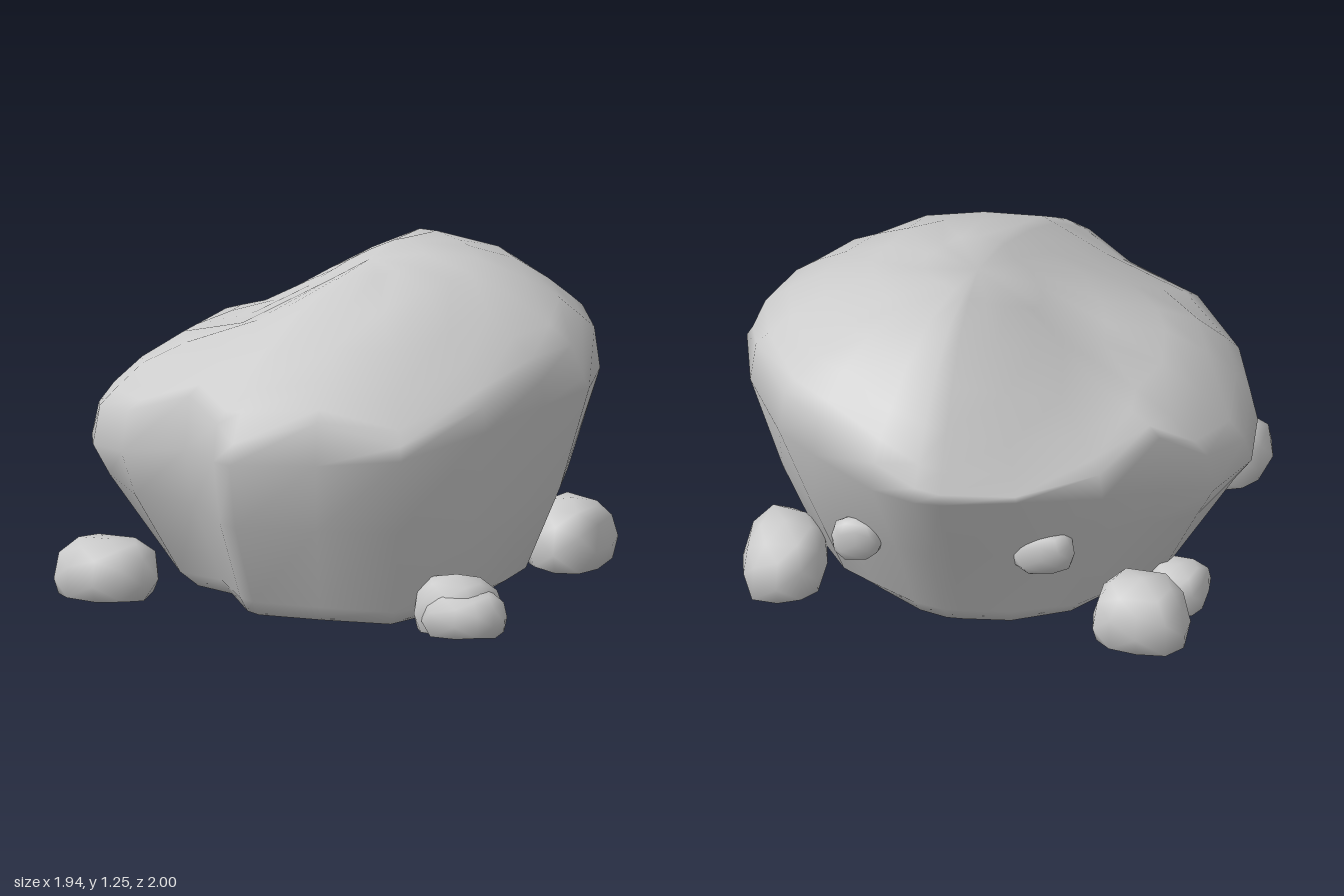
import * as THREE from 'three';
import { mergeVertices } from 'three/addons/utils/BufferGeometryUtils.js';

const rock = new THREE.MeshStandardMaterial({ color: 0xcccccc });
rock.name = 'greyRock';

// Widest outline of the boulder as [x, z], running back, left, front, right
const OUTLINE = [
  [0.08, -1], [0.18, -1], [0.35, -0.94], [0.6, -0.75], [0.75, -0.62], [0.91, -0.3], [0.97, 0],
  [0.88, 0.25], [0.75, 0.55], [0.52, 0.87], [0.2, 0.93], [-0.12, 0.995], [-0.2, 0.95],
  [-0.4, 0.7], [-0.67, 0.65], [-0.87, 0.4], [-0.95, 0.18], [-0.97, -0.1],
  [-0.87, -0.4], [-0.7, -0.5], [-0.5, -0.73], [-0.2, -0.92],
];
// Crest heights across x and along z
const CREST_X = [[-0.97, 0.5], [-0.95, 0.62], [-0.85, 0.75], [-0.7, 0.88], [-0.62, 0.93],
  [-0.37, 0.98], [0, 1.19], [0.13, 1.25], [0.45, 1.23], [0.73, 1.11], [0.9, 0.98], [0.97, 0.8]];
const CREST_Z = [[-1, 0.78], [-0.87, 0.97], [-0.65, 1.15], [-0.47, 1.23], [-0.2, 1.25],
  [0.23, 1.21], [0.57, 1.08], [0.93, 0.83], [1, 0.66]];

function sample(table, v) {
  for (let i = 1; i < table.length; i++) {
    const [a, ya] = table[i - 1], [b, yb] = table[i];
    if (v <= b) return THREE.MathUtils.lerp(ya, yb, THREE.MathUtils.clamp((v - a) / (b - a), 0, 1));
  }
  return table[table.length - 1][1];
}

// Height of the top: the ridge drifts right towards the front, both back corners drop
function crest(x, z) {
  const { clamp } = THREE.MathUtils;
  const ridgeShift = 0.26 * Math.max(0, z) * clamp((x + 0.95) / 0.5, 0, 1);
  const leftDrop = 0.45 * Math.max(0, x - 0.3) * Math.max(0, -z - 0.2);
  const rightDrop = 0.5 * clamp(-x - 0.25, 0, 0.35) * clamp(0.1 - z, 0, 0.3);
  return sample(CREST_X, x + ridgeShift) + sample(CREST_Z, z) - 1.25 - leftDrop - rightDrop;
}

// Blends values given for the four sides by the direction of (x, z)
function bySide(x, z, [left, front, right, back]) {
  const r2 = x * x + z * z;
  return (x * x * (x > 0 ? left : right) + z * z * (z > 0 ? front : back)) / r2;
}

function boulderGeometry() {
  const cx = 0.08, cz = -0.05;
  const lower = (scales, y, corner) => ([x, z]) => {
    const s = bySide(x, z, scales) * (1 + corner * Math.max(0, (2 * x * z) / (x * x + z * z)));
    return [x * s, y, z * s];
  };
  const upper = (s) => ([x, z]) => {
    const px = cx + (x - cx) * s, pz = cz + (z - cz) * s;
    return [px, crest(px, pz), pz];
  };
  const rings = [
    () => [0, 0, 0.05],
    lower([0.63, 0.75, 0.57, 0.62], 0.012, 0.15),
    lower([0.74, 0.8, 0.68, 0.66], 0.075, 0.14),
    lower([0.88, 0.95, 0.93, 0.8], 0.4, 0.02),
    ([x, z]) => [x, bySide(x, z, [0.8, 0.66, 0.49, 0.76]), z],
    ...[0.975, 0.92, 0.82, 0.67, 0.46, 0.23, 0].map(upper),
  ];
  const n = OUTLINE.length, pos = [], index = [];
  rings.forEach((ring) => OUTLINE.forEach((p) => pos.push(...ring(p))));
  for (let j = 0; j < rings.length - 1; j++) {
    for (let i = 0; i < n; i++) {
      const k = (i + 1) % n;
      const a = j * n + i, b = j * n + k, c = a + n, d = b + n;
      if (j > 0) index.push(a, c, b);
      if (j < rings.length - 2) index.push(b, c, d);
    }
  }
  let g = new THREE.BufferGeometry();
  g.setAttribute('position', new THREE.Float32BufferAttribute(pos, 3));
  g.setIndex(index);
  g = mergeVertices(g);
  g.computeVertexNormals();
  return g;
}

// Blocky pebble of half-widths rx, rz; a grounded one sits flat on y = 0
function pebble(name, [x, y, z], [rx, ry, rz], seed, grounded = true) {
  let g = new THREE.IcosahedronGeometry(1, 1);
  g.deleteAttribute('normal');
  g.deleteAttribute('uv');
  g = mergeVertices(g, 1e-3);
  const floor = -0.45, square = (t) => Math.sign(t) * Math.abs(t) ** 0.8;
  const p = g.attributes.position, v = new THREE.Vector3();
  for (let i = 0; i < p.count; i++) {
    v.fromBufferAttribute(p, i);
    const lump = 1 + 0.08 * Math.sin(3.1 * v.x + seed) * Math.cos(2.7 * v.z + 2 * seed + v.y);
    v.set(square(v.x), square(v.y), square(v.z)).multiplyScalar(lump);
    if (grounded) v.y = Math.max(v.y, floor);
    p.setXYZ(i, v.x * rx, v.y * ry, v.z * rz);
  }
  g.computeVertexNormals();
  const m = new THREE.Mesh(g, rock);
  m.name = name;
  m.position.set(x, grounded ? -floor * ry : y, z);
  return m;
}

export function createModel() {
  const group = new THREE.Group();
  group.name = 'boulderWithStones';

  const boulder = new THREE.Mesh(boulderGeometry(), rock);
  boulder.name = 'boulder';
  group.add(boulder);

  // Stones lying around the foot
  group.add(
    pebble('frontRightStone', [-0.745, 0, 0.585], [0.19, 0.152, 0.18], 1.2),
    pebble('frontLeftStone', [0.66, 0, 0.63], [0.165, 0.14, 0.14], 2.4),
    pebble('frontLeftSmallStone', [0.71, 0, 0.68], [0.16, 0.112, 0.13], 0.4),
    pebble('backLeftStone', [0.76, 0, -0.41], [0.16, 0.17, 0.22], 3.3),
    pebble('backRightStone', [-0.63, 0, -0.6], [0.19, 0.165, 0.175], 4.1),
    pebble('backRightSmallStone', [-0.73, 0, -0.34], [0.12, 0.11, 0.14], 5.2),
  );

  // Shallow knobs set into the back wall
  group.add(
    pebble('backLeftKnob', [0.44, 0.39, -0.7], [0.1, 0.09, 0.06], 0.7, false),
    pebble('backRightKnob', [-0.27, 0.4, -0.7], [0.12, 0.09, 0.075], 2.9, false),
  );
  return group;
}
